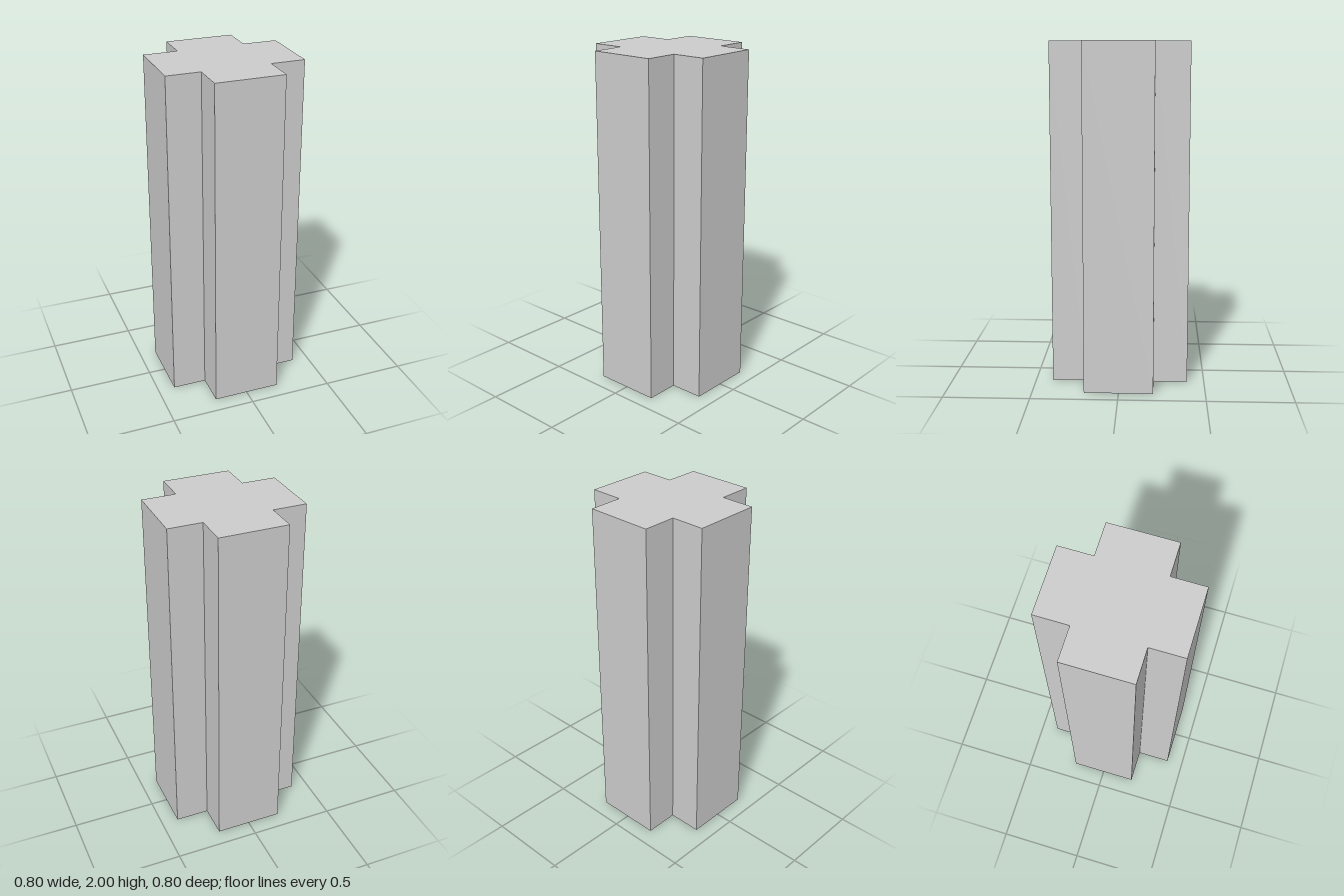
import * as THREE from 'three';

const HEIGHT = 2;
const OUTER = 0.4; // reach of each arm from the axis
const INNER = 0.2; // half width of each arm

export function createModel() {
  const group = new THREE.Group();
  group.name = 'crossColumn';

  // Plus-shaped section: three corners per quadrant, turned a quarter each time
  const points = [];
  for (let i = 0; i < 4; i++) {
    for (const [x, y] of [[OUTER, INNER], [INNER, INNER], [INNER, OUTER]]) {
      points.push(new THREE.Vector2(x, y).rotateAround(new THREE.Vector2(), i * Math.PI / 2));
    }
  }

  // Column: section extruded upwards from the ground
  const geometry = new THREE.ExtrudeGeometry(new THREE.Shape(points), {
    depth: HEIGHT,
    bevelEnabled: false,
  });
  geometry.rotateX(-Math.PI / 2);

  const material = new THREE.MeshStandardMaterial({ color: 0xcccccc, flatShading: true });
  const column = new THREE.Mesh(geometry, material);
  column.name = 'column';
  group.add(column);
  return group;
}
